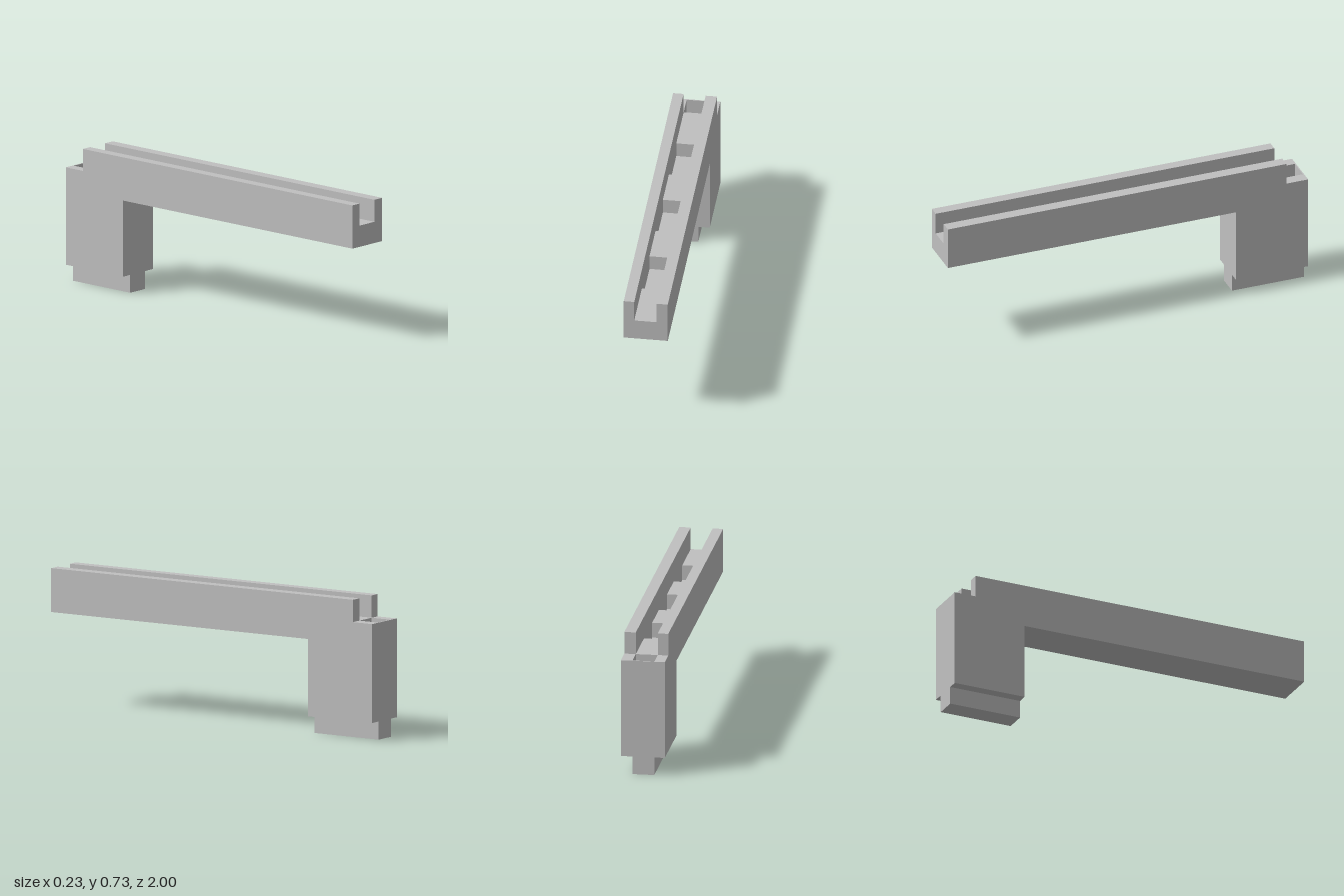
import * as THREE from 'three';

// Extrudes a side profile of [z, y] points across x0..x1.
function slab(name, points, x0, x1, material) {
  const shape = new THREE.Shape(points.map(([z, y]) => new THREE.Vector2(z, y)));
  const geometry = new THREE.ExtrudeGeometry(shape, { depth: x1 - x0, bevelEnabled: false });
  geometry.rotateY(-Math.PI / 2); // profile runs along z, depth runs along -x
  geometry.translate(x1, 0, 0);
  const mesh = new THREE.Mesh(geometry, material);
  mesh.name = name;
  return mesh;
}

export function createModel() {
  const model = new THREE.Group();
  model.name = 'channelBracket';
  const grey = new THREE.MeshStandardMaterial({ color: 0xc0c0c0 });
  grey.name = 'plainGrey';

  const top = 0.73, floor = 0.613, under = 0.5, shoulder = 0.095;
  const legFront = -0.6, railEnd = -0.88;
  const outer = 0.115, slotMin = -0.06, slotMax = 0.055;

  // Side walls: rail, rear step and the leg down to the shoulder
  const side = [
    [-1, shoulder], [legFront, shoulder], [legFront, under], [1, under],
    [1, top], [railEnd, top], [railEnd, floor], [-1, floor],
  ];
  model.add(slab('rightSideWall', side, -outer, slotMin, grey));
  model.add(slab('leftSideWall', side, slotMax, outer, grey));

  // Core: channel floor with recessed pockets, and the leg ending in a tongue
  const pocketDepth = 0.08;
  const pockets = [[0.71, 0.42], [0.19, -0.09], [-0.32, -0.6], [railEnd, -0.994]];
  const core = [[-1, 0], [legFront, 0], [legFront, under], [1, under], [1, floor]];
  for (const [a, b] of pockets) {
    core.push([a, floor], [a, floor - pocketDepth], [b, floor - pocketDepth], [b, floor]);
  }
  core.push([-1, floor]);
  model.add(slab('channelFloorAndTongue', core, slotMin, slotMax, grey));

  return model;
}
